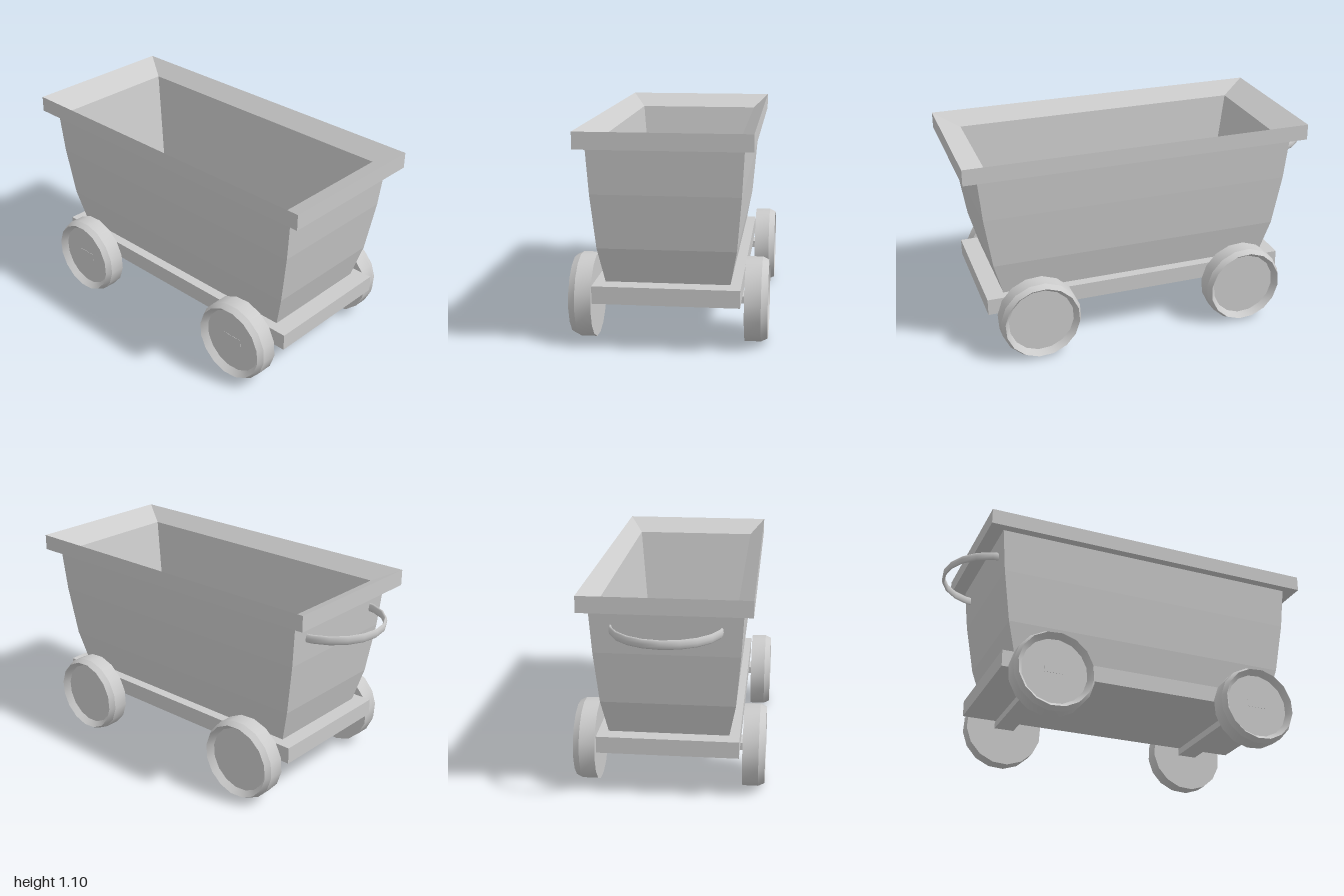
import * as THREE from 'three';
import { toCreasedNormals } from 'three/addons/utils/BufferGeometryUtils.js';

const BODY_Z = 0.07;
const WHEEL_R = 0.216;
const AXLE_Z = [0.645, -0.505];

const material = new THREE.MeshStandardMaterial({ color: 0xcccccc });
const facetedMaterial = new THREE.MeshStandardMaterial({ color: 0xcccccc, flatShading: true });

function add(parent, name, geometry, mat, x = 0, y = 0, z = 0) {
  const mesh = new THREE.Mesh(geometry, mat);
  mesh.name = name;
  mesh.position.set(x, y, z);
  parent.add(mesh);
  return mesh;
}

// Skins a stack of rectangles, each given as [halfWidth, halfLength, y].
function rectangleLoft(rings) {
  const corners = [[1, 1], [1, -1], [-1, -1], [-1, 1]];
  const positions = [];
  const point = ([w, l, y], i) => {
    const [sx, sz] = corners[i % 4];
    return [sx * w, y, sz * l];
  };
  for (let r = 0; r < rings.length - 1; r++) {
    for (let i = 0; i < 4; i++) {
      const a = point(rings[r], i), b = point(rings[r], i + 1);
      const c = point(rings[r + 1], i + 1), d = point(rings[r + 1], i);
      if (rings[r][0] > 0) positions.push(...a, ...b, ...c);
      if (rings[r + 1][0] > 0) positions.push(...a, ...c, ...d);
      else if (rings[r][0] <= 0) continue;
    }
  }
  const geometry = new THREE.BufferGeometry();
  geometry.setAttribute('position', new THREE.Float32BufferAttribute(positions, 3));
  geometry.computeVertexNormals();
  return geometry;
}

// Wheel with a bevelled tread and a recessed outer face, pointing along +x.
function wheelGeometry() {
  const profile = [
    [0, 0.378], [WHEEL_R, 0.378], [WHEEL_R, 0.46],
    [0.2, 0.493], [0.175, 0.46], [0, 0.46],
  ].map(([r, h]) => new THREE.Vector2(r, h));
  const geometry = new THREE.LatheGeometry(profile, 16);
  geometry.rotateY(THREE.MathUtils.degToRad(-7.5));
  geometry.rotateZ(-Math.PI / 2);
  return toCreasedNormals(geometry, 0.42);
}

export function createModel() {
  const cart = new THREE.Group();
  cart.name = 'cart';

  // Hollow tub: bulging outside walls, flared lip, sloping inside and floor
  add(cart, 'tub', rectangleLoft([
    [0, 0, 0.33],
    [0.309, 0.738, 0.33],
    [0.342, 0.787, 0.51],
    [0.365, 0.829, 0.785],
    [0.378, 0.85, 1.016],
    [0.424, 0.927, 1.016],
    [0.424, 0.927, 1.1],
    [0.343, 0.79, 1.03],
    [0.275, 0.67, 0.36],
    [0, 0, 0.36],
  ]), facetedMaterial, 0, 0, BODY_Z);

  // Flat chassis board
  add(cart, 'chassis', new THREE.BoxGeometry(0.725, 0.088, 1.653), material, 0, 0.287, 0.077);

  // Square axles and wheels
  const wheel = wheelGeometry();
  AXLE_Z.forEach((z, i) => {
    const end = i === 0 ? 'front' : 'rear';
    add(cart, end + 'Axle', new THREE.BoxGeometry(0.915, 0.038, 0.11), material, -0.004, 0.224, z);
    for (const side of [1, -1]) {
      const name = end + (side > 0 ? 'Left' : 'Right') + 'Wheel';
      const mesh = add(cart, name, wheel, material, 0, WHEEL_R, z);
      if (side < 0) mesh.rotation.y = Math.PI;
    }
  });

  // Bowed push handle, a flattened half ring set into the back wall
  const handle = new THREE.TorusGeometry(0.28, 0.009, 8, 10, Math.PI);
  handle.scale(1, 1, 2.6);
  handle.rotateX(-Math.PI / 2);
  add(cart, 'handle', handle, material, 0, 0.915, -0.711);

  return cart;
}
